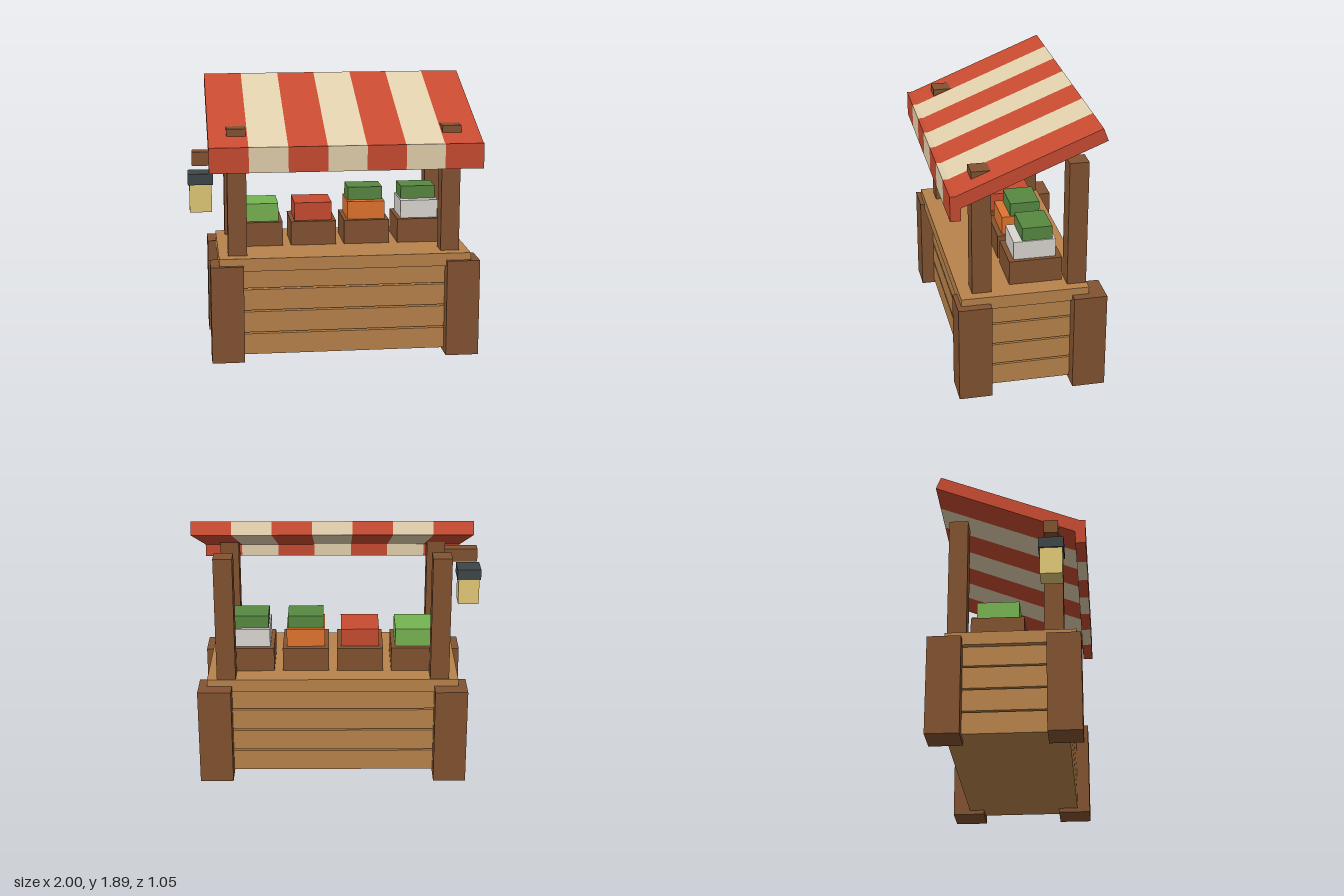
import * as THREE from 'three';

const mat = (name, color) => {
  const m = new THREE.MeshStandardMaterial({ color });
  m.name = name;
  return m;
};

export function createModel() {
  const wood = mat('light wood', 0xb9834b);
  const darkWood = mat('dark wood', 0x825331);
  const red = mat('red', 0xc84b31);
  const cream = mat('cream', 0xe2d0ad);
  const lime = mat('lime green', 0x76b451);
  const green = mat('leaf green', 0x578941);
  const orange = mat('orange', 0xe1742f);
  const pale = mat('pale grey', 0xdcd7d2);
  const iron = mat('dark iron', 0x3e4648);
  const glow = mat('lantern yellow', 0xe2ca77);

  const stall = new THREE.Group();
  stall.name = 'marketStall';

  // Box given by its extents on each axis
  const box = (name, material, [x0, x1], [y0, y1], [z0, z1], parent = stall) => {
    const mesh = new THREE.Mesh(new THREE.BoxGeometry(x1 - x0, y1 - y0, z1 - z0), material);
    mesh.position.set((x0 + x1) / 2, (y0 + y1) / 2, (z0 + z1) / 2);
    mesh.name = name;
    parent.add(mesh);
    return mesh;
  };

  // Counter: four stacked boards with open gaps, and a top slab
  for (let i = 0; i < 4; i++) {
    const y = 0.03 + i * 0.1585;
    box('counterBoard', wood, [-0.76, 0.9], [y, y + 0.147], [-0.405, 0.39]);
  }
  box('counterTop', wood, [-0.80, 0.94], [0.64, 0.73], [-0.415, 0.45]);

  // Corner blocks and awning poles
  for (const x of [[-0.86, -0.635], [0.77, 1.0]])
    for (const z of [[-0.525, -0.30], [0.255, 0.48]])
      box('cornerBlock', darkWood, x, [0, 0.68], z);
  for (const x of [[-0.735, -0.605], [0.742, 0.872]])
    for (const z of [[-0.41, -0.28], [0.235, 0.365]])
      box('awningPole', darkWood, x, [0.73, 1.61], z);

  // Awning: sloped roof and front flap as one side profile (z, y), repeated per stripe
  const profile = new THREE.Shape([
    [0.525, 1.337], [0.525, 1.51], [0.49, 1.51], [-0.46, 1.89],
    [-0.493, 1.805], [0.455, 1.425], [0.455, 1.337],
  ].map(([z, y]) => new THREE.Vector2(z, y)));
  const stripes = 7, left = -0.86, width = 1.86 / stripes;
  const stripeGeometry = new THREE.ExtrudeGeometry(profile, { depth: width, bevelEnabled: false });
  stripeGeometry.rotateY(-Math.PI / 2);
  for (let i = 0; i < stripes; i++) {
    const stripe = new THREE.Mesh(stripeGeometry, i % 2 ? cream : red);
    stripe.position.x = left + (i + 1) * width;
    stripe.name = 'awningStripe';
    stall.add(stripe);
  }

  // Crates with produce
  const crates = [
    [-0.50, lime, false], [-0.12, red, false], [0.258, orange, true], [0.64, pale, true],
  ];
  for (const [x, produce, leafy] of crates) {
    const crate = new THREE.Group();
    crate.name = 'crate';
    crate.position.x = x;
    stall.add(crate);
    box('crateBox', darkWood, [-0.161, 0.161], [0.73, 0.90], [-0.26, 0.10], crate);
    box('produce', produce, [-0.133, 0.133], [0.90, 1.028], [-0.222, 0.065], crate);
    if (leafy) box('leaves', green, [-0.123, 0.123], [1.028, 1.12], [-0.2, 0.005], crate);
  }

  // Hanging lantern on its bracket
  box('lanternBracket', darkWood, [-0.97, -0.72], [1.36, 1.455], [0.25, 0.345]);
  box('lanternCap', iron, [-1.0, -0.83], [1.235, 1.31], [0.212, 0.382]);
  box('lanternGlass', glow, [-0.99, -0.84], [1.045, 1.235], [0.222, 0.372]);

  return stall;
}
